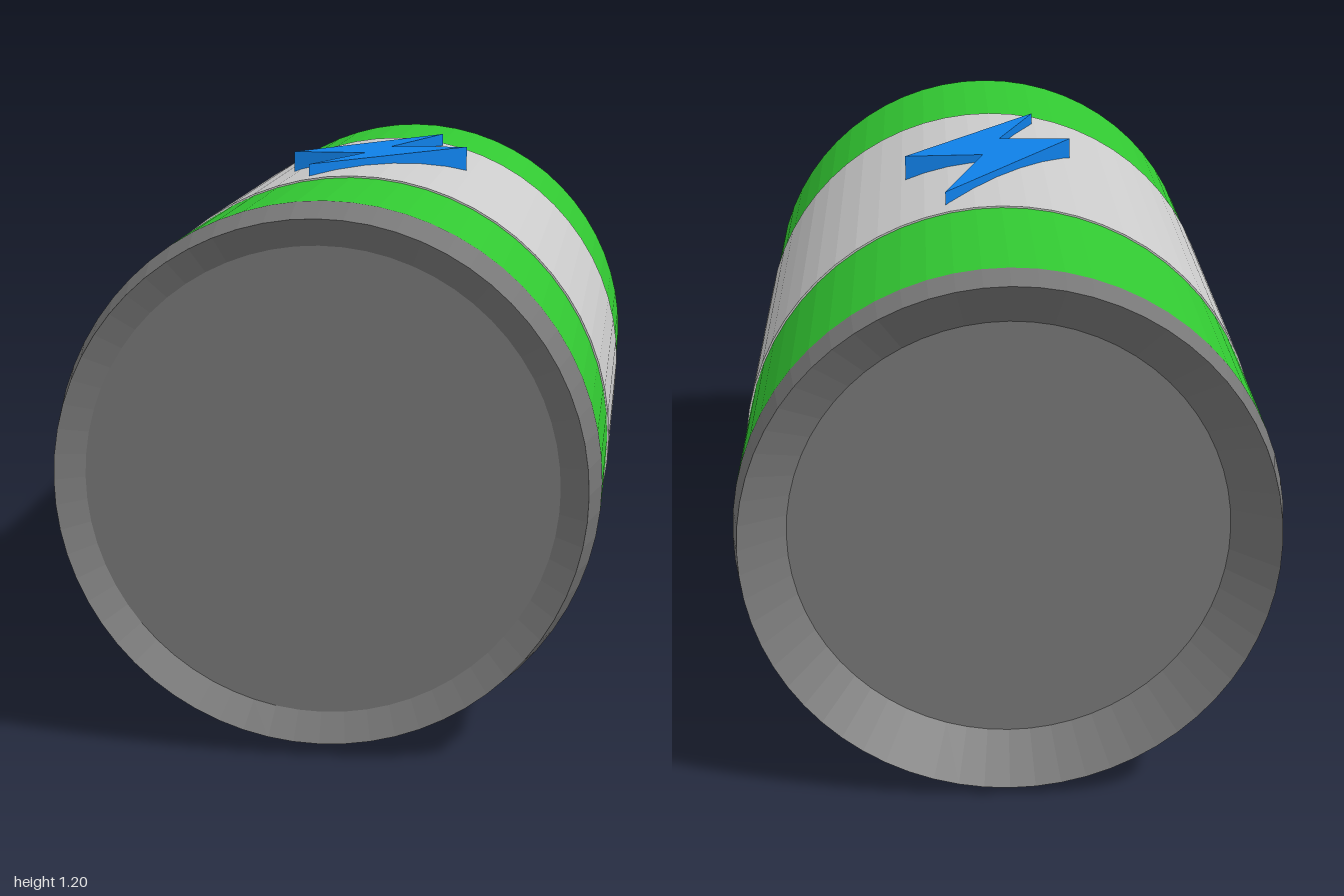
import * as THREE from 'three';

const AXIS_Y = 0.593;
const SEGMENTS = 64;

// Revolve a [radius, z] profile, listed from back to front, around the z axis
function revolve(name, profile, color) {
  const points = profile.map(([r, z]) => new THREE.Vector2(r, z));
  const geometry = new THREE.LatheGeometry(points, SEGMENTS);
  geometry.rotateX(Math.PI / 2);
  const material = new THREE.MeshStandardMaterial({ color, flatShading: true });
  const mesh = new THREE.Mesh(geometry, material);
  mesh.name = name;
  mesh.position.y = AXIS_Y;
  return mesh;
}

export function createModel() {
  const group = new THREE.Group();
  group.name = 'battery';
  const green = 0x32c832, dark = 0x777777;

  // Central band, a hair proud of the coloured bands
  group.add(revolve('middleBand', [[0.58, -0.455], [0.593, -0.455], [0.593, 0.463], [0.58, 0.463]], 0xcccccc));

  // Coloured bands
  group.add(revolve('frontBand', [[0.589, 0.455], [0.589, 0.89]], green));
  group.add(revolve('backBand', [[0.589, -0.915], [0.589, -0.45]], green));

  // End caps: chamfered rim sloping into a recessed floor, deeper at the back
  group.add(revolve('frontCap', [[0.589, 0.89], [0.565, 1], [0.505, 0.965], [0, 0.965]], dark));
  group.add(revolve('backCap', [[0, -0.92], [0.475, -0.92], [0.575, -1], [0.589, -0.915]], dark));

  // Raised lightning bolt, sunk into the curved top
  const outline = [[0.125, -0.395], [0.03, -0.05], [0.217, -0.06], [-0.11, 0.385], [-0.015, 0.11], [-0.19, 0.105]];
  const shape = new THREE.Shape(outline.map(([x, z]) => new THREE.Vector2(x, -z)));
  const boltGeometry = new THREE.ExtrudeGeometry(shape, { depth: 0.073, bevelEnabled: false });
  boltGeometry.rotateX(-Math.PI / 2);
  const bolt = new THREE.Mesh(boltGeometry, new THREE.MeshStandardMaterial({ color: 0x0f80e8, flatShading: true }));
  bolt.name = 'lightningBolt';
  bolt.position.y = 1.13;
  group.add(bolt);

  return group;
}
